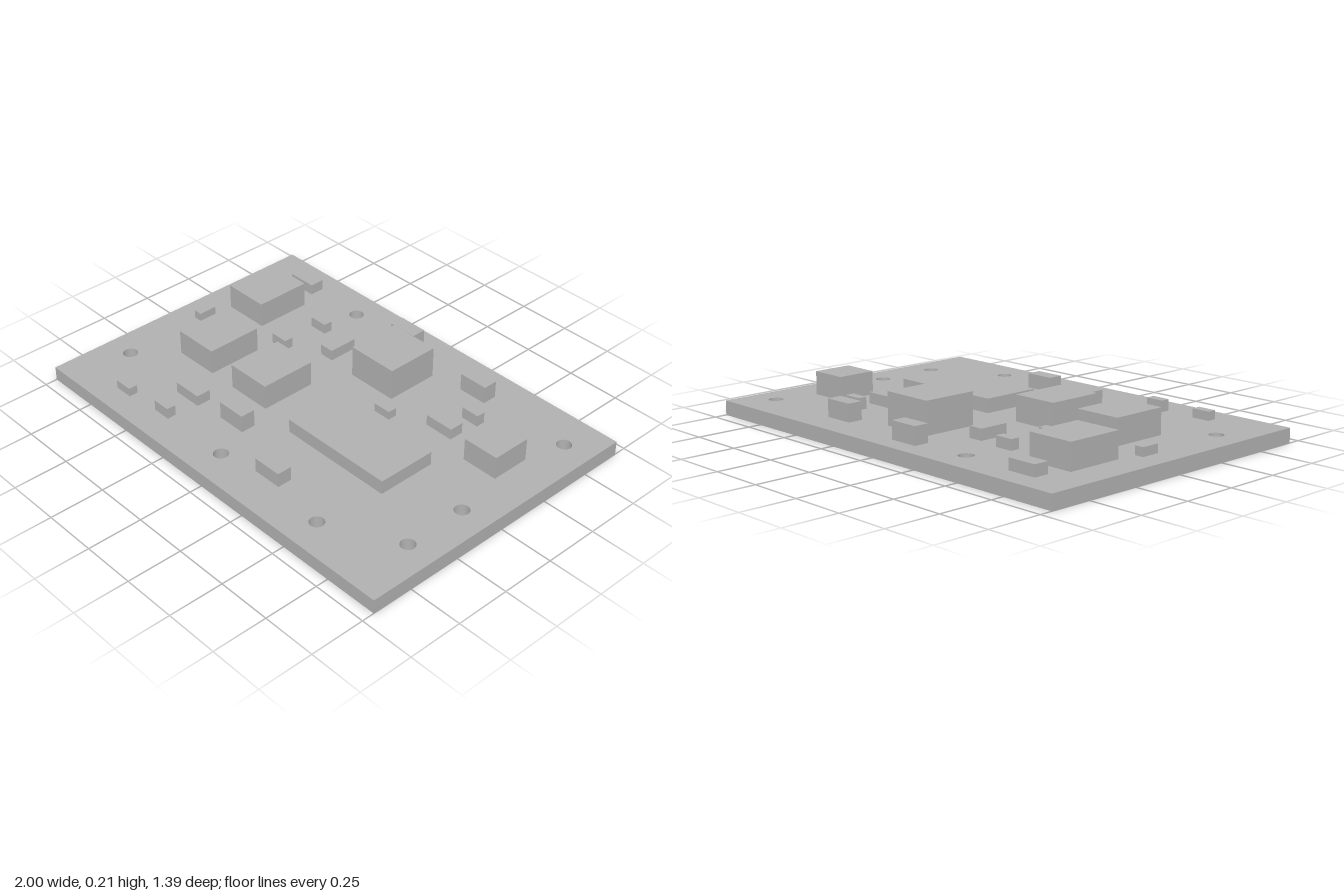
import * as THREE from 'three';

const BOARD_TOP = 0.065;

export function createModel() {
  const group = new THREE.Group();
  const grey = new THREE.MeshStandardMaterial({ color: 0xb0b0b0 });
  grey.name = 'grey';

  // Board: a flat plate with mounting holes drilled through it
  const outline = new THREE.Shape([
    new THREE.Vector2(-1, -0.693), new THREE.Vector2(1, -0.693),
    new THREE.Vector2(1, 0.693), new THREE.Vector2(-1, 0.693),
  ]);
  const holes = [
    [-0.41, -0.56], [0.866, -0.52], [0.866, 0.087], [0.866, 0.384],
    [-0.866, 0.384], [-0.043, 0.55], [0.535, 0.55],
  ];
  for (const [x, z] of holes) {
    outline.holes.push(new THREE.Path().absarc(x, -z, 0.033, 0, Math.PI * 2, true));
  }
  const plate = new THREE.ExtrudeGeometry(outline, { depth: BOARD_TOP, bevelEnabled: false, curveSegments: 16 });
  plate.rotateX(-Math.PI / 2);
  const board = new THREE.Mesh(plate, grey);
  board.name = 'board';
  group.add(board);

  // A block standing on the board, up to the given top height
  function addBlock(name, x, z, width, depth, top) {
    const height = top - BOARD_TOP;
    const mesh = new THREE.Mesh(new THREE.BoxGeometry(width, height, depth), grey);
    mesh.position.set(x, BOARD_TOP + height / 2, z);
    mesh.name = name;
    group.add(mesh);
  }

  // Large chips: x, z, width, depth, top
  const chips = [
    [-0.741, -0.311, 0.217, 0.26, 0.18],
    [-0.608, 0.088, 0.215, 0.26, 0.18],
    [-0.257, 0.088, 0.215, 0.26, 0.18],
    [0.04, -0.346, 0.242, 0.25, 0.21],
    [0.311, 0.111, 0.548, 0.276, 0.128],
    [0.738, -0.239, 0.171, 0.182, 0.17],
  ];
  chips.forEach((c, i) => addBlock(`chip${i + 1}`, ...c));

  // Capacitors: x, z, top, turned
  const capacitors = [
    [-0.743, -0.557, 0.115], [-0.098, -0.575, 0.145], [0.38, -0.522, 0.145],
    [-0.254, -0.298, 0.115, true], [0.457, -0.237, 0.115], [-0.428, 0.381, 0.115],
    [-0.162, 0.361, 0.145], [0.207, 0.486, 0.13],
  ];
  capacitors.forEach(([x, z, top, turned], i) =>
    addBlock(`capacitor${i + 1}`, x, z, turned ? 0.068 : 0.138, turned ? 0.138 : 0.068, top));

  // Resistors: x, z, top, turned
  const resistors = [
    [-0.437, -0.368, 0.112], [0.497, -0.368, 0.118], [-0.46, -0.153, 0.113],
    [0.214, -0.132, 0.104], [-0.872, -0.047, 0.104, true],
    [-0.652, 0.563, 0.104], [-0.417, 0.542, 0.115],
  ];
  resistors.forEach(([x, z, top, turned], i) =>
    addBlock(`resistor${i + 1}`, x, z, turned ? 0.042 : 0.086, turned ? 0.086 : 0.042, top));

  return group;
}
